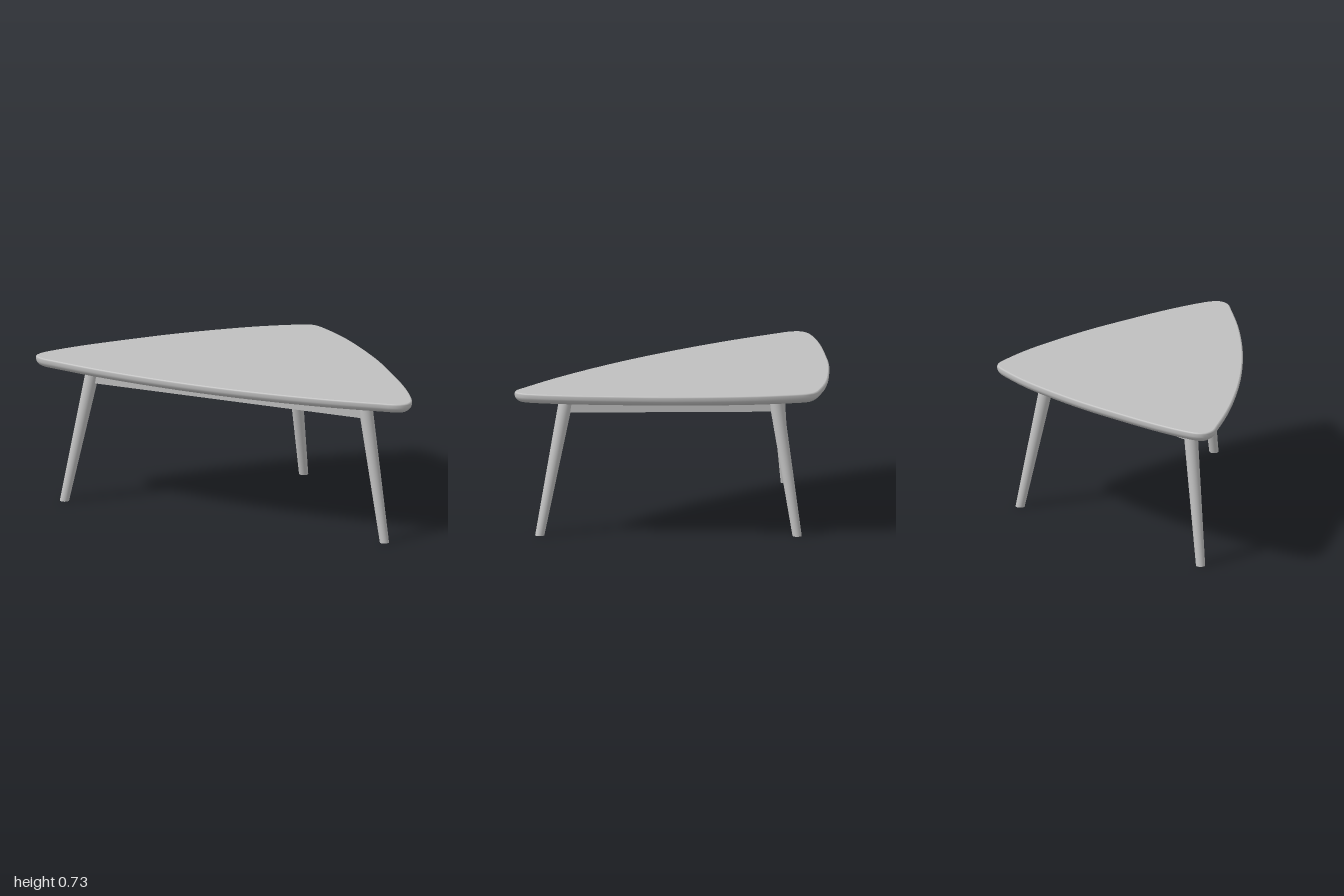
import * as THREE from 'three';

const lightGray = new THREE.MeshStandardMaterial({ color: 0xc0c0c0 });
lightGray.name = 'light gray';

// Rounded-triangle outline, mirrored across x, as points with outward normals
function outline() {
  const half = [[0.035, -0.59], [0.085, -0.562], [0.246, -0.45], [0.52, -0.2], [0.70, 0],
    [0.865, 0.2], [0.965, 0.345], [0.996, 0.41], [0.994, 0.455], [0.955, 0.488], [0.87, 0.507], [0.62, 0.55], [0.3, 0.582]];
  const pts = [[0, -0.598], ...half, [0, 0.592], ...half.map(([x, z]) => [-x, z]).reverse()]
    .map(([x, z]) => new THREE.Vector3(x, 0, z));
  const curve = new THREE.CatmullRomCurve3(pts, true, 'centripetal');
  const n = 240, ring = [];
  for (let i = 0; i < n; i++) {
    const t = curve.getTangentAt(i / n);
    ring.push({ p: curve.getPointAt(i / n), n: new THREE.Vector3(t.z, 0, -t.x) });
  }
  return ring;
}

// Tabletop: flat faces joined by a rounded edge that tucks in underneath
function tabletop() {
  const ring = outline(), n = ring.length, pos = [], idx = [];
  const addRing = (inset, y) => {
    for (const r of ring) pos.push(r.p.x - r.n.x * inset, y, r.p.z - r.n.z * inset);
    return pos.length / 3 - n;
  };
  const profile = [[0.007, 0.725], [0.002, 0.723], [0, 0.718]];
  for (let i = 1; i <= 8; i++) {
    const a = (i / 8) * Math.PI / 2;
    profile.push([0.045 * (1 - Math.cos(a)), 0.712 - 0.038 * Math.sin(a)]);
  }
  let prev = -1;
  for (const [inset, y] of profile) {
    const cur = addRing(inset, y);
    for (let i = 0; prev >= 0 && i < n; i++) {
      const j = (i + 1) % n;
      idx.push(prev + i, prev + j, cur + i, prev + j, cur + j, cur + i);
    }
    prev = cur;
  }
  const cap = ([inset, y], up) => {
    const s = addRing(inset, y), c = pos.length / 3;
    pos.push(0, y, 0.1);
    for (let i = 0; i < n; i++) {
      const j = (i + 1) % n;
      idx.push(c, ...(up ? [s + j, s + i] : [s + i, s + j]));
    }
  };
  cap(profile[0], true);
  cap(profile[profile.length - 1], false);
  const g = new THREE.BufferGeometry();
  g.setAttribute('position', new THREE.Float32BufferAttribute(pos, 3));
  g.setIndex(idx);
  g.computeVertexNormals();
  return g;
}

// Tapered round leg sheared between foot and top, so both ends stay level
function leg(foot, top) {
  const h = 0.68, g = new THREE.CylinderGeometry(0.035, 0.0225, h, 32);
  g.translate(0, h / 2, 0);
  const m = new THREE.Matrix4().set(
    1, (top[0] - foot[0]) / h, 0, foot[0],
    0, 1, 0, 0,
    0, (top[1] - foot[1]) / h, 1, foot[1],
    0, 0, 0, 1);
  return g.applyMatrix4(m);
}

// Straight rail between two leg tops
function rail(a, b) {
  const dx = b[0] - a[0], dz = b[1] - a[1];
  const g = new THREE.BoxGeometry(Math.hypot(dx, dz), 0.08, 0.04);
  g.rotateY(-Math.atan2(dz, dx));
  return g.translate((a[0] + b[0]) / 2, 0.64, (a[1] + b[1]) / 2);
}

export function createModel() {
  const group = new THREE.Group();
  const add = (name, geometry) => {
    const mesh = new THREE.Mesh(geometry, lightGray);
    mesh.name = name;
    group.add(mesh);
  };
  add('tabletop', tabletop());

  const legs = [
    { name: 'leftFrontLeg', foot: [0.856, 0.422], top: [0.725, 0.366] },
    { name: 'rightFrontLeg', foot: [-0.856, 0.422], top: [-0.725, 0.366] },
    { name: 'backLeg', foot: [0, -0.486], top: [0.006, -0.344] },
  ];
  const railNames = ['frontRail', 'rightRail', 'leftRail'];
  legs.forEach((l, i) => {
    add(l.name, leg(l.foot, l.top));
    add(railNames[i], rail(l.top, legs[(i + 1) % 3].top));
  });
  return group;
}
